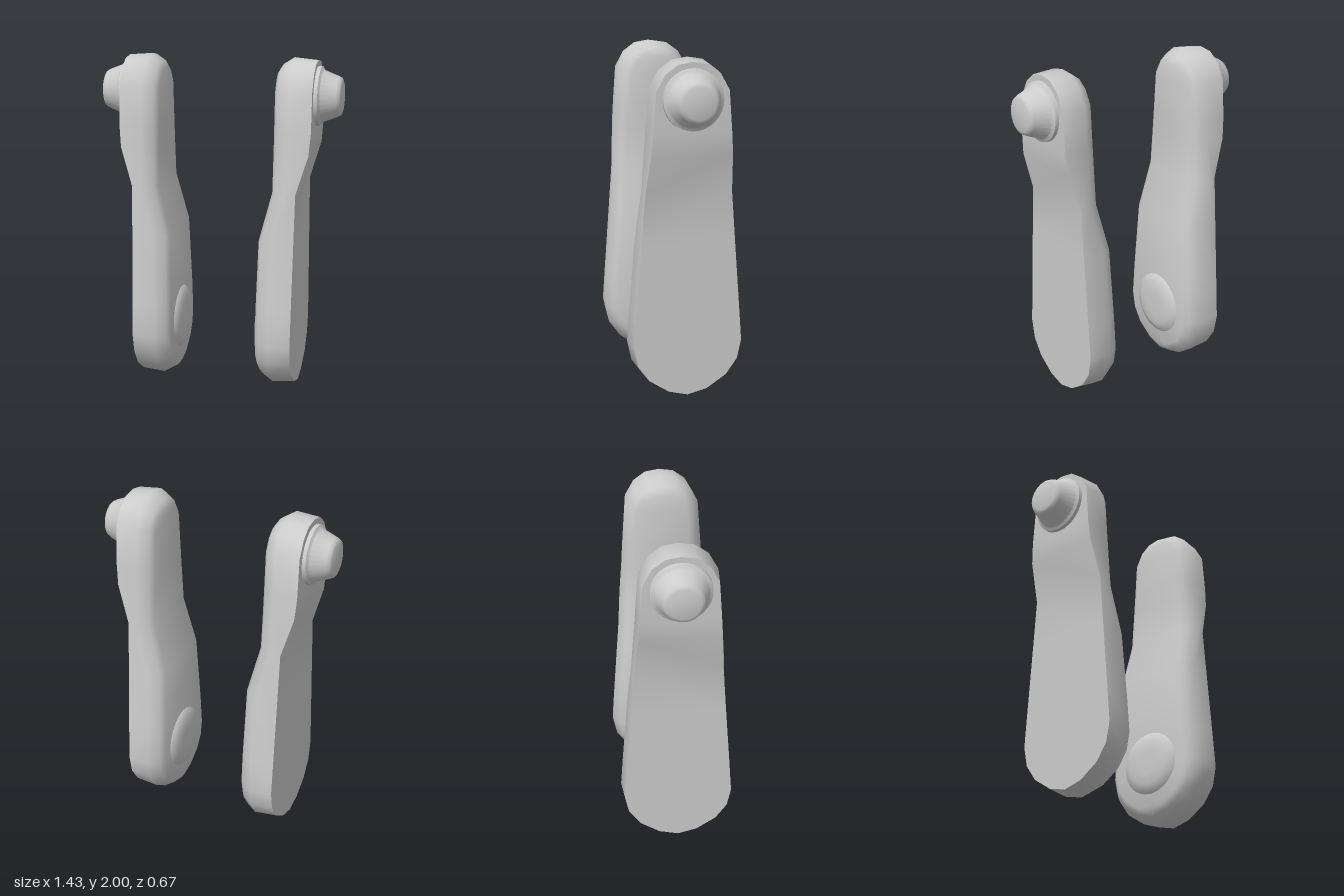
import * as THREE from 'three';
import { toCreasedNormals } from 'three/addons/utils/BufferGeometryUtils.js';

// Half outline of the arm seen from the side: [z, y], bottom to top
const OUTLINE = [
  [0, 0], [0.12, 0.03], [0.24, 0.11], [0.31, 0.21], [0.335, 0.33], [0.32, 0.53],
  [0.287, 0.95], [0.265, 1.24], [0.247, 1.47], [0.237, 1.6], [0.22, 1.83],
  [0.165, 1.93], [0.09, 1.985], [0, 2],
];
// Outer and inner faces as x over y
const OUTER = [[0, 0.48], [1.24, 0.49], [1.47, 0.56], [1.6, 0.57], [2, 0.57]];
const INNER = [[0, 0.26], [0.5, 0.26], [0.95, 0.27], [1.24, 0.345], [2, 0.345]];
// Edge section: sharp outer rim, rounded inner rim (inset from outline, x)
const SECTION = [
  { inset: 0.012, x: (y) => lerpKeys(OUTER, y) },
  { inset: 0, x: (y) => lerpKeys(INNER, y) + 0.085 },
  { inset: 0.04, x: (y) => lerpKeys(INNER, y) + 0.022 },
  { inset: 0.075, x: (y) => lerpKeys(INNER, y) },
];

function lerpKeys(keys, v) {
  for (let i = 1; i < keys.length; i++) {
    const [a, p] = keys[i - 1], [b, q] = keys[i];
    if (v <= b) return p + (q - p) * Math.max(0, (v - a) / (b - a));
  }
  return keys[keys.length - 1][1];
}

// Outline point moved inwards along its normal
function insetPoint(k, d) {
  const [z, y] = OUTLINE[k], last = OUTLINE.length - 1;
  if (k === 0) return [0, y + d];
  if (k === last) return [0, y - d];
  const a = OUTLINE[k - 1], b = OUTLINE[k + 1];
  const dz = b[0] - a[0], dy = b[1] - a[1], len = Math.hypot(dz, dy);
  return [Math.max(0, z - (dy / len) * d), y + (dz / len) * d];
}

// Arm body: rows follow the outline, columns run round the section
function armGeometry(s) {
  const pos = [], index = [], n = SECTION.length * 2;
  OUTLINE.forEach((_, k) => {
    for (let j = 0; j < n; j++) {
      const front = j < SECTION.length;
      const c = SECTION[front ? j : n - 1 - j];
      const [z, y] = insetPoint(k, c.inset);
      pos.push(s * c.x(y), y, front ? z : -z);
    }
  });
  for (let k = 0; k < OUTLINE.length - 1; k++) {
    for (let j = 0; j < n; j++) {
      const a = k * n + j, b = k * n + ((j + 1) % n), c = b + n, d = a + n;
      if (s > 0) index.push(b, a, d, b, d, c);
      else index.push(b, d, a, b, c, d);
    }
  }
  const g = new THREE.BufferGeometry();
  g.setAttribute('position', new THREE.Float32BufferAttribute(pos, 3));
  g.setIndex(index);
  return toCreasedNormals(g, 0.95);
}

// Turned part lying along x, pointing towards dir
function turned(profile, dir) {
  const g = new THREE.LatheGeometry(profile.map(([r, h]) => new THREE.Vector2(r, h)), 32);
  g.rotateZ(-dir * Math.PI / 2);
  return toCreasedNormals(g, 0.75);
}

export function createModel() {
  const model = new THREE.Group();
  const material = new THREE.MeshStandardMaterial({ color: 0xcccccc });
  const add = (group, name, geometry) => {
    const mesh = new THREE.Mesh(geometry, material);
    mesh.name = name;
    group.add(mesh);
    return mesh;
  };

  for (const s of [1, -1]) {
    const arm = new THREE.Group();
    arm.name = s > 0 ? 'leftArm' : 'rightArm';
    add(arm, 'armBody', armGeometry(s));

    // Tapered pivot knob on a thin collar, on the outer face
    const knob = add(arm, 'pivotKnob', turned([
      [0.175, -0.02], [0.172, 0.022], [0.152, 0.032], [0.118, 0.12], [0.108, 0.138], [0.09, 0.145], [0, 0.145],
    ], s));
    knob.position.set(s * 0.57, 1.78, 0);

    // Low rounded pad on the inner face
    const pad = add(arm, 'innerPad', turned([
      [0.2, -0.01], [0.185, 0.01], [0.135, 0.03], [0.07, 0.033], [0, 0.033],
    ], -s));
    pad.position.set(s * 0.262, 0.365, 0);

    model.add(arm);
  }
  return model;
}
